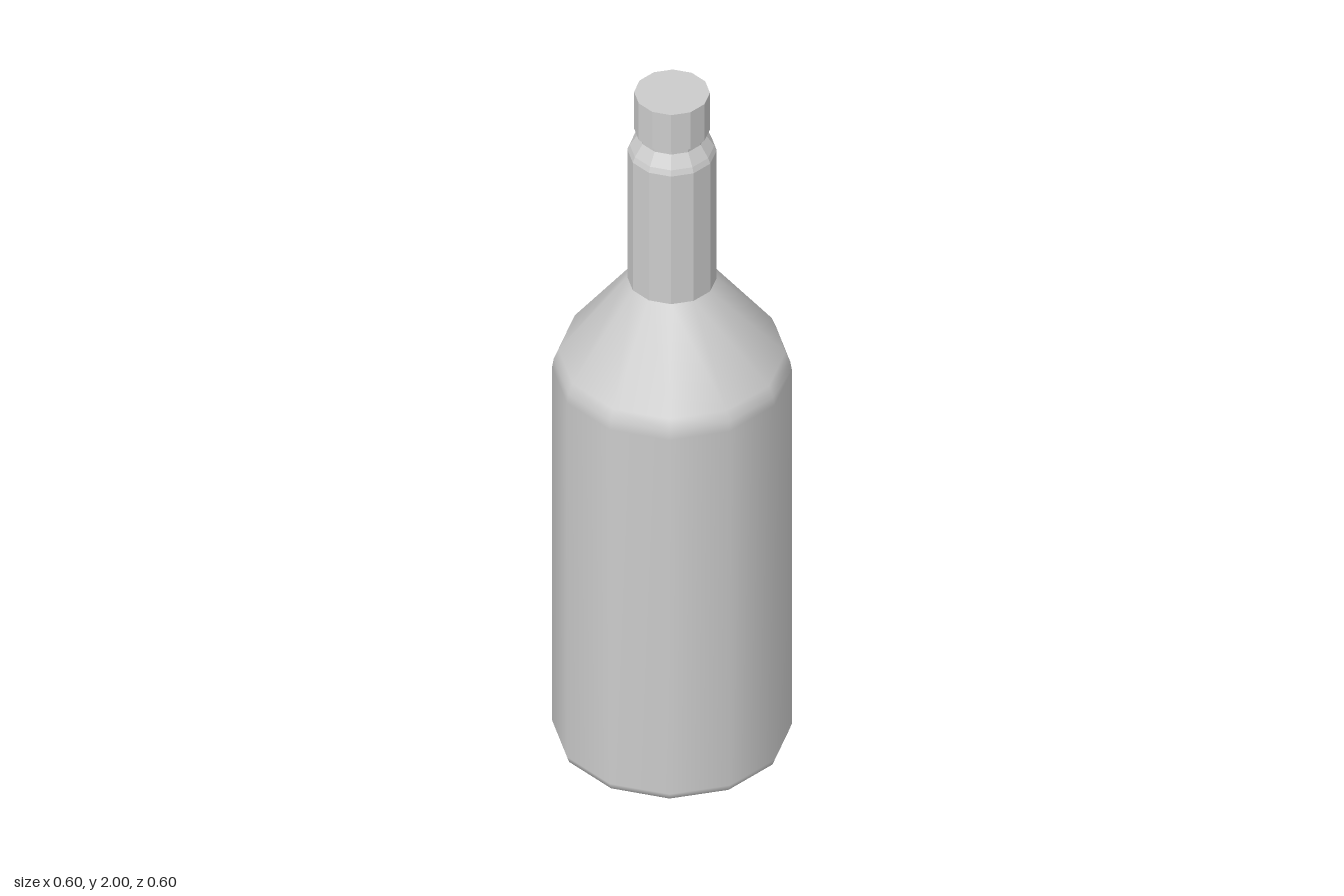
import * as THREE from 'three';

const SIDES = 12;

// Revolve a bottom-to-top profile of [radius, y] points
function turned(name, profile, flatShading) {
  const points = profile.map(([r, y]) => new THREE.Vector2(r, y));
  const material = new THREE.MeshStandardMaterial({ color: 0xcccccc, flatShading });
  const mesh = new THREE.Mesh(new THREE.LatheGeometry(points, SIDES), material);
  mesh.name = name;
  return mesh;
}

export function createModel() {
  const group = new THREE.Group();
  group.name = 'bottle';

  // Smooth body with a small bottom bevel and a rounded shoulder
  group.add(turned('body', [
    [0.28, 0], [0.294, 0.007], [0.3, 0.025], [0.3, 1.135],
    [0.296, 1.16], [0.284, 1.19], [0.112, 1.42],
  ], false));

  // Flat underside
  group.add(turned('base', [[0, 0], [0.28, 0]], true));

  // Faceted neck, tapering in below the cap
  group.add(turned('neck', [
    [0.112, 1.42], [0.112, 1.82], [0.106, 1.835], [0.084, 1.868], [0.084, 1.885],
  ], true));

  // Faceted cap closed on top
  group.add(turned('cap', [[0.084, 1.885], [0.095, 1.885], [0.095, 2], [0, 2]], true));

  return group;
}
